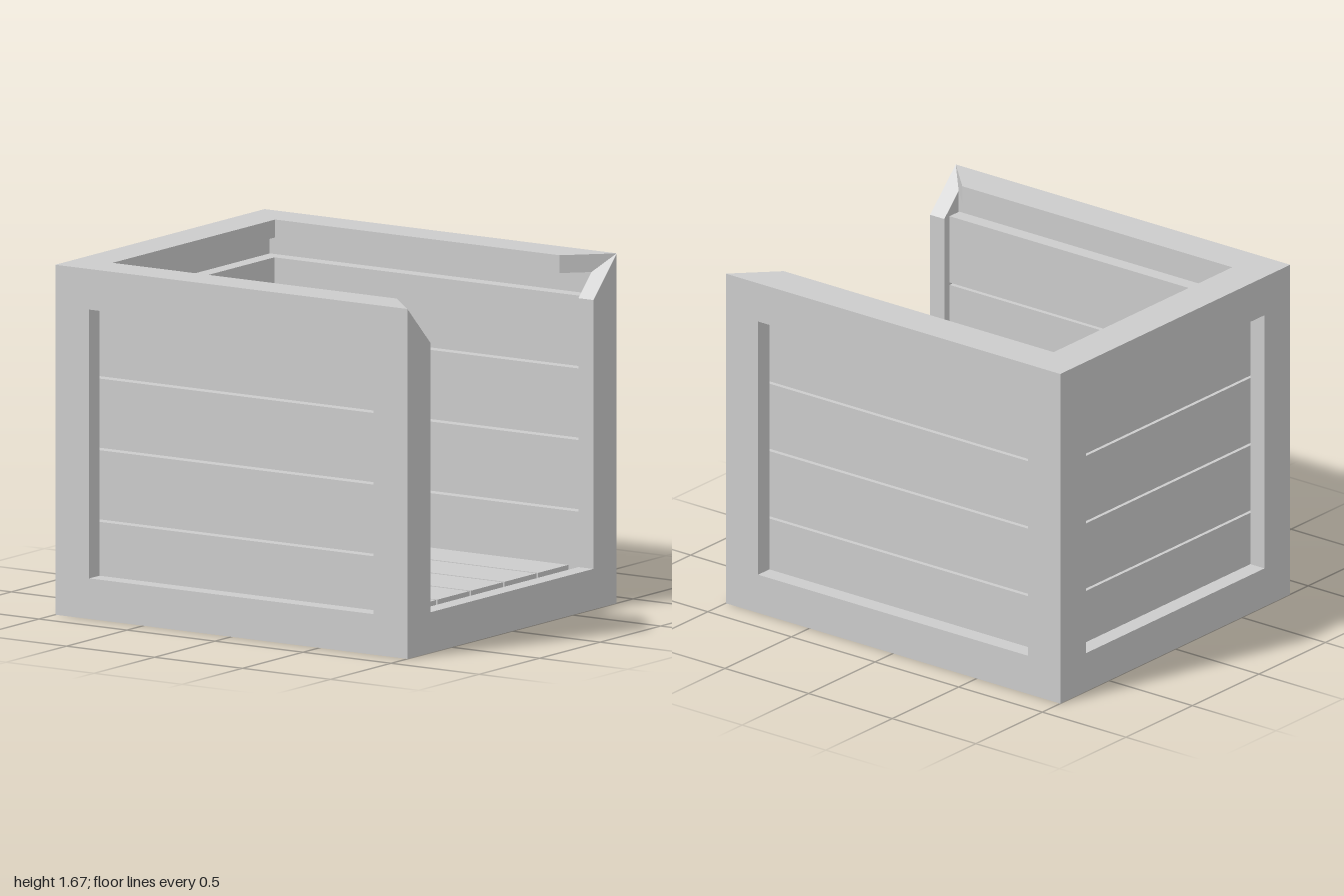
import * as THREE from 'three';
import { ConvexGeometry } from 'three/addons/geometries/ConvexGeometry.js';

const HALF = [1, 0.833, 0.865]; // half extents of the crate
const WIDTH = 0.193;            // width of a frame bar
const DEPTH = 0.085;            // thickness of a frame bar

export function createModel() {
  const crate = new THREE.Group();
  crate.name = 'crate';
  const material = new THREE.MeshStandardMaterial({ color: 0xcccccc, flatShading: true });

  const add = (name, geometry, parent) => {
    const mesh = new THREE.Mesh(geometry, material);
    mesh.name = name;
    parent.add(mesh);
    return mesh;
  };

  // One bar along an edge of a face, mitred at both ends and along the shared edge
  const mitredBar = (face, faceSign, edge, edgeSign) => {
    const along = 3 - face - edge;
    const points = [];
    for (const [inset, depth] of [[0, 0], [WIDTH, 0], [DEPTH, DEPTH], [WIDTH, DEPTH]]) {
      for (const end of [-1, 1]) {
        const p = [0, 0, 0];
        p[face] = faceSign * (HALF[face] - depth);
        p[edge] = edgeSign * (HALF[edge] - inset);
        p[along] = end * (HALF[along] - inset);
        points.push(new THREE.Vector3(p[0], p[1] + HALF[1], p[2]));
      }
    }
    return new ConvexGeometry(points);
  };

  // Frame around all six faces, leaving out the top bar of the open +x side
  const frame = new THREE.Group();
  frame.name = 'frame';
  crate.add(frame);
  const faceNames = [['rightFrame', 'leftFrame'], ['bottomFrame', 'topFrame'], ['backFrame', 'frontFrame']];
  for (let face = 0; face < 3; face++) {
    for (const faceSign of [-1, 1]) {
      for (let edge = 0; edge < 3; edge++) {
        if (edge === face) continue;
        for (const edgeSign of [-1, 1]) {
          const openTop = face + edge === 1 && faceSign === 1 && edgeSign === 1;
          if (openTop) continue;
          add(faceNames[face][(faceSign + 1) / 2], mitredBar(face, faceSign, edge, edgeSign), frame);
        }
      }
    }
  }

  // Box given by its limits on each axis
  const slat = (name, x0, x1, y0, y1, z0, z1, parent) =>
    add(name, new THREE.BoxGeometry(x1 - x0, y1 - y0, z1 - z0), parent)
      .position.set((x0 + x1) / 2, (y0 + y1) / 2, (z0 + z1) / 2);

  // Horizontal wall slats on the front, back and closed side
  const walls = new THREE.Group();
  walls.name = 'wallSlats';
  crate.add(walls);
  for (let i = 0; i < 4; i++) {
    const y0 = 0.12 + i * 0.341;
    const y1 = i === 3 ? 1.478 : y0 + 0.329;
    slat('frontSlat', -0.91, 0.91, y0, y1, 0.705, 0.778, walls);
    slat('backSlat', -0.91, 0.91, y0, y1, -0.778, -0.705, walls);
    slat('sideSlat', -0.91, -0.835, y0, y1, -0.705, 0.705, walls);
  }

  // Floor slats, the last one cut narrow
  const floor = new THREE.Group();
  floor.name = 'floorSlats';
  crate.add(floor);
  for (let i = 0; i < 6; i++) {
    const z0 = -0.705 + i * 0.2765 - (i ? 0.012 : 0);
    const z1 = Math.min(-0.705 + i * 0.2765 + 0.25, 0.705);
    slat('floorSlat', -0.835, 0.835, 0.135, 0.19, z0, z1, floor);
  }
  return crate;
}
